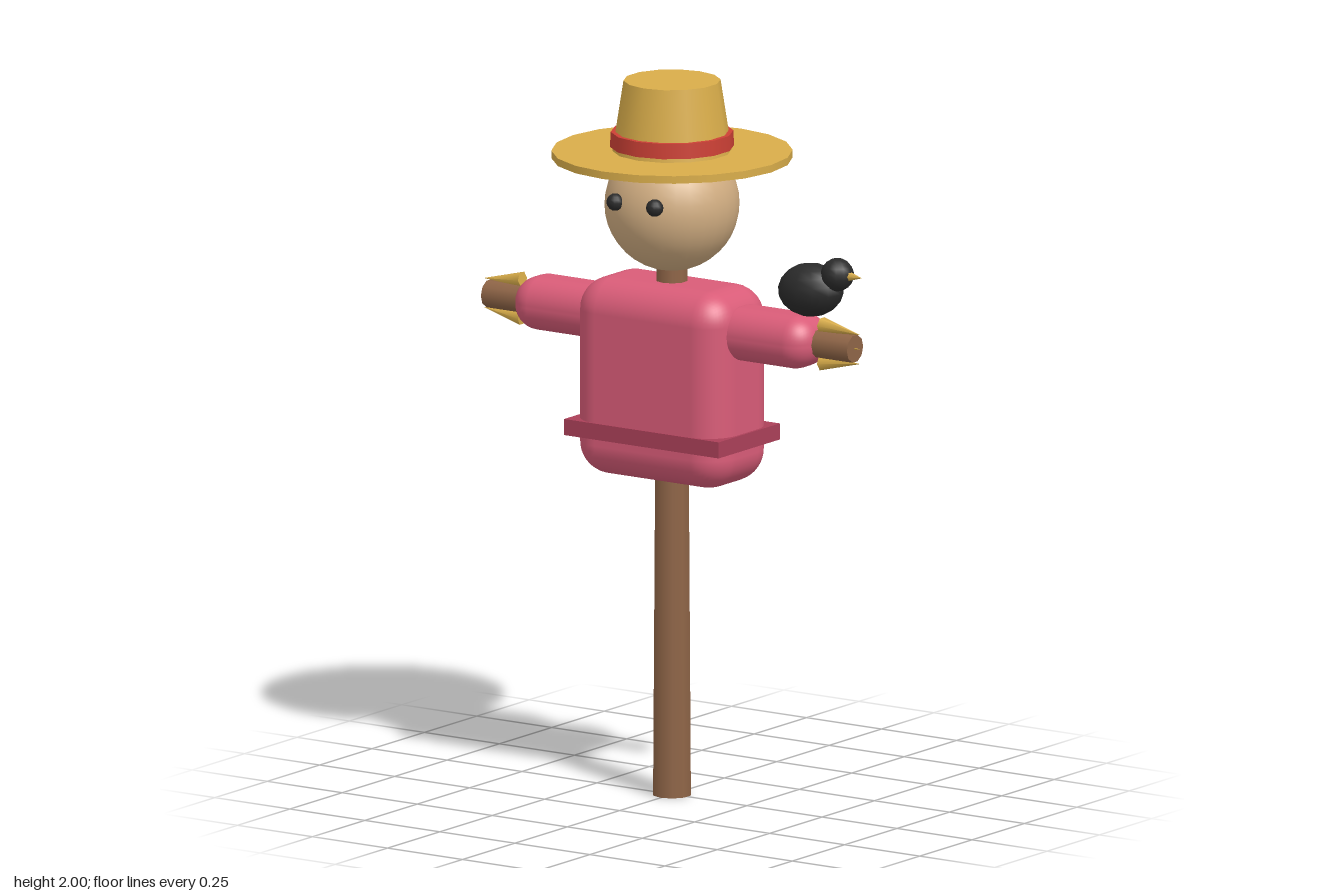
import * as THREE from 'three';
import { RoundedBoxGeometry } from 'three/addons/geometries/RoundedBoxGeometry.js';

const material = (color) => new THREE.MeshStandardMaterial({ color });

export function createModel() {
  const model = new THREE.Group();
  model.name = 'scarecrow';

  const wood = material(0x8f6547);
  const cloth = material(0xd95c78);
  const belt = material(0xab4059);
  const sack = material(0xd2ae82);
  const straw = material(0xd9ad4a);
  const red = material(0xcc4035);
  const black = material(0x2b2b2b);

  const add = (name, geometry, mat, x = 0, y = 0, z = 0, parent = model) => {
    const mesh = new THREE.Mesh(geometry, mat);
    mesh.name = name;
    mesh.position.set(x, y, z);
    parent.add(mesh);
    return mesh;
  };

  // Wooden post and crossbar
  add('post', new THREE.CylinderGeometry(0.044, 0.054, 1.56, 10), wood, 0, 0.78, 0);
  add('crossbar', new THREE.CylinderGeometry(0.039, 0.039, 1.22, 10), wood, 0, 1.325, 0)
    .rotation.z = Math.PI / 2;

  // Shirt and belt
  add('shirt', new RoundedBoxGeometry(0.5, 0.55, 0.284, 5, 0.09), cloth, 0, 1.165, 0);
  add('belt', new THREE.BoxGeometry(0.515, 0.045, 0.292), belt, 0, 1.022, 0);

  // Sleeves with straw sticking out of the cuffs
  for (const side of [-1, 1]) {
    const arm = new THREE.Group();
    arm.name = side > 0 ? 'leftArm' : 'rightArm';
    model.add(arm);
    add('sleeve', new RoundedBoxGeometry(0.32, 0.148, 0.174, 5, 0.07), cloth, side * 0.335, 1.325, 0, arm);
    for (const offset of [-1, 0, 1]) {
      const cone = add('straw', new THREE.ConeGeometry(0.022, 0.13, 6), straw,
        side * 0.563, 1.325 + offset * 0.047, 0, arm);
      cone.rotation.z = -side * (Math.PI / 2 + offset * 0.1);
    }
  }

  // Head and eyes
  add('head', new THREE.SphereGeometry(0.185, 28, 20), sack, 0, 1.655, 0);
  for (const side of [-1, 1]) {
    add('eye', new THREE.SphereGeometry(0.024, 12, 8), black, side * 0.066, 1.682, 0.177);
  }

  // Straw hat
  const hat = new THREE.Group();
  hat.name = 'hat';
  model.add(hat);
  add('brim', new THREE.CylinderGeometry(0.33, 0.33, 0.021, 20), straw, 0, 1.793, 0, hat);
  add('crown', new THREE.CylinderGeometry(0.133, 0.164, 0.2, 14), straw, 0, 1.9, 0, hat);
  add('hatBand', new THREE.CylinderGeometry(0.168, 0.17, 0.042, 14), red, 0, 1.836, 0, hat);

  // Bird perched on the left sleeve
  const bird = new THREE.Group();
  bird.name = 'bird';
  model.add(bird);
  const body = add('birdBody', new THREE.SphereGeometry(0.073, 12, 9), black, 0.463, 1.472, 0, bird);
  body.scale.set(1.34, 1.02, 1);
  body.rotation.z = 0.1;
  add('birdHead', new THREE.SphereGeometry(0.046, 12, 9), black, 0.551, 1.525, 0, bird);
  add('beak', new THREE.ConeGeometry(0.016, 0.05, 6), straw, 0.608, 1.525, 0, bird)
    .rotation.z = -Math.PI / 2;

  return model;
}
